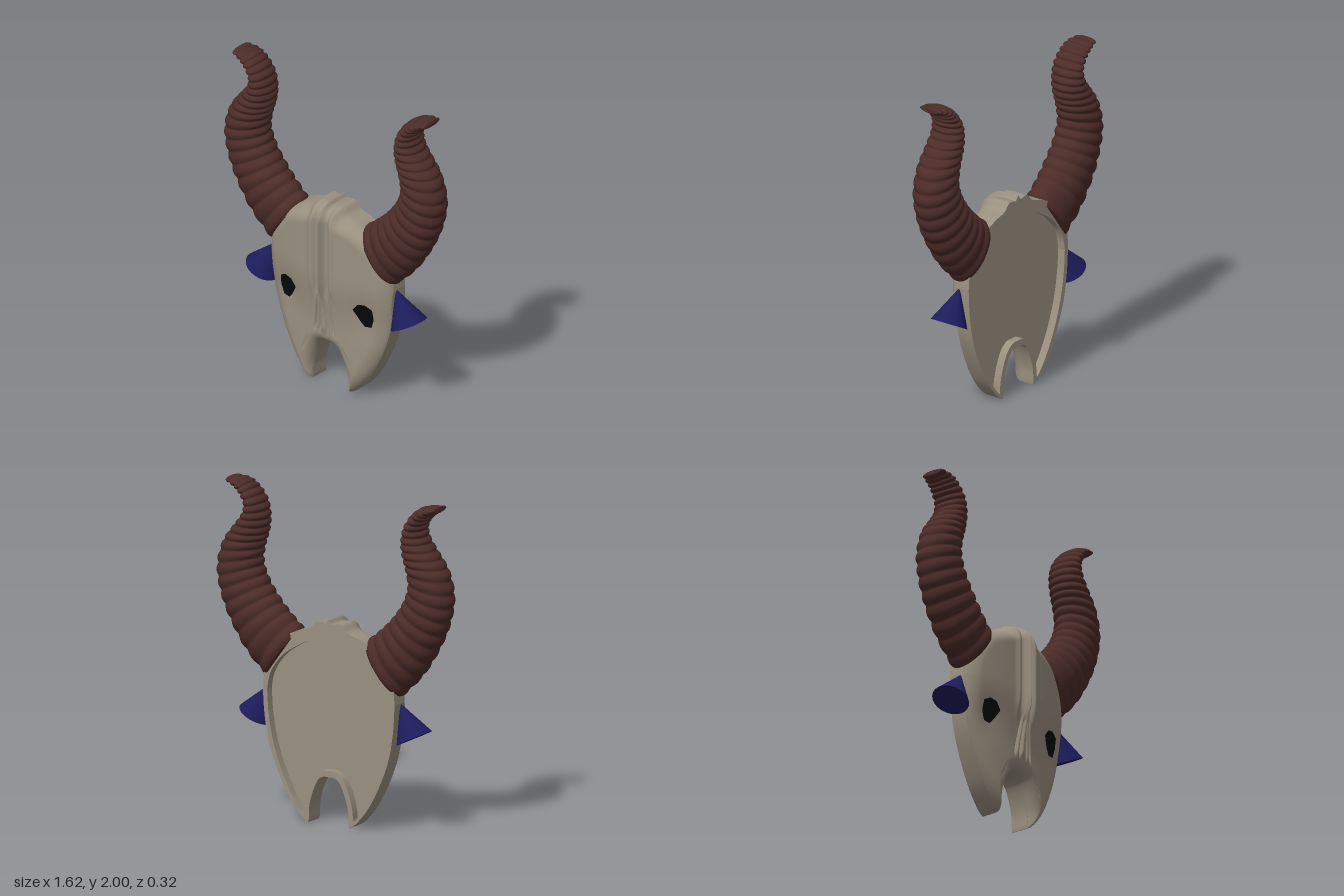
import * as THREE from 'three';
import { mergeVertices } from 'three/addons/utils/BufferGeometryUtils.js';

const paint = (color) => new THREE.MeshStandardMaterial({ color, side: THREE.DoubleSide });
const spline = (pts) => new THREE.SplineCurve(pts.map(([x, y]) => new THREE.Vector2(x, y)));
const gauss = (d, s) => Math.exp(-(d * d) / (s * s));
const step = THREE.MathUtils.smoothstep;

// Surface from a rule fn(u, v) -> [x, y, z], with u and v in 0..1
function loft(nu, nv, fn) {
  const pos = [], index = [];
  for (let j = 0; j <= nv; j++) for (let i = 0; i <= nu; i++) pos.push(...fn(i / nu, j / nv));
  for (let j = 0; j < nv; j++) for (let i = 0; i < nu; i++) {
    const a = j * (nu + 1) + i, b = a + nu + 1;
    index.push(a, a + 1, b + 1, a, b + 1, b);
  }
  let g = new THREE.BufferGeometry();
  g.setAttribute('position', new THREE.Float32BufferAttribute(pos, 3));
  g.setIndex(index);
  g = mergeVertices(g, 1e-5);
  g.computeVertexNormals();
  return g;
}

// Half outlines of the skull and of the hollow in its back: crown edge and jaw edge
const outer = {
  top: spline([[0, 1.2], [0.08, 1.215], [0.13, 1.17], [0.22, 1.14], [0.33, 1.08], [0.41, 0.97], [0.45, 0.87], [0.46, 0.78]]),
  low: spline([[0, 0.287], [0.04, 0.285], [0.075, 0.26], [0.11, 0.19], [0.135, 0.1], [0.14, 0.01], [0.15, 0.003],
    [0.2, 0.04], [0.28, 0.14], [0.36, 0.29], [0.42, 0.45], [0.45, 0.62], [0.46, 0.78]]),
};
const inner = {
  top: spline([[0, 1.12], [0.08, 1.11], [0.14, 1.09], [0.22, 1.05], [0.31, 0.99], [0.38, 0.91], [0.415, 0.84], [0.43, 0.76]]),
  low: spline([[0, 0.325], [0.05, 0.32], [0.1, 0.28], [0.14, 0.2], [0.165, 0.11], [0.17, 0.05], [0.18, 0.045],
    [0.21, 0.08], [0.265, 0.16], [0.335, 0.3], [0.39, 0.46], [0.42, 0.62], [0.43, 0.76]]),
};

// Point on an edge, t from -1 (right) to 1 (left)
function edge(shape, side, t) {
  const p = shape[side].getPoint(Math.min(1, Math.abs(t)));
  const crest = shape === outer && side === 'top' ? 0.035 * gauss(p.x, 0.014) : 0;
  return [Math.sign(t) * p.x, p.y + crest];
}
// Point on the whole closed outline, k from 0 to 1
const around = (shape, k) => (k < 0.5 ? edge(shape, 'low', 4 * k - 1) : edge(shape, 'top', 3 - 4 * k));
// Point inside the outline
function inside(shape, u, v) {
  const [x0, y0] = edge(shape, 'low', 2 * u - 1), [x1, y1] = edge(shape, 'top', 2 * u - 1);
  const w = (1 - Math.cos(Math.PI * v)) / 2;
  return [x0 + (x1 - x0) * w, y0 + (y1 - y0) * w];
}

// Relief of the face: domed brow, crest, side ridges, nose grooves, cheek creases
function faceZ(px, y) {
  const x = Math.abs(px);
  const brow = step(y, 0.56, 0.72), nose = step(y, 0.36, 0.42) * (1 - step(y, 0.58, 0.66));
  const flare = 0.62 - y;
  let z = 0.092 + 0.033 * step(y, 0.4, 0.8) - 0.33 * x * x;
  z += brow * (0.035 * gauss(x, 0.014) - 0.014 * gauss(x - 0.04, 0.018) + 0.012 * gauss(x - 0.075, 0.022));
  z += nose * (0.012 * gauss(x, 0.05) - 0.016 * gauss(x - 0.012 - 0.08 * flare, 0.008)
    - 0.016 * gauss(x - 0.035 - 0.15 * flare, 0.008));
  z -= 0.012 * gauss(x - 0.285, 0.1) * gauss(y - 0.56, 0.12);
  z -= 0.006 * gauss(x - 0.13 - (0.3 - y) * 0.55, 0.007) * step(y, 0.19, 0.22) * (1 - step(y, 0.28, 0.31));
  return z;
}

function buildSkull() {
  const skull = new THREE.Group();
  skull.name = 'skull';
  const bone = paint(0x9a9080);
  const rim = Array.from({ length: 700 }, (_, i) => around(outer, i / 700));
  const back = -0.095, floor = -0.045, round = 0.085;
  const add = (name, g) => {
    const m = new THREE.Mesh(g, bone);
    m.name = name;
    skull.add(m);
  };
  // Front rolls over to meet the side wall
  add('face', loft(240, 84, (u, v) => {
    const [x, y] = inside(outer, u, v);
    let d2 = 1;
    for (const [a, b] of rim) d2 = Math.min(d2, (a - x) ** 2 + (b - y) ** 2);
    const f = v === 0 || v === 1 ? 0 : Math.min(1, Math.sqrt(d2) / round);
    return [x, y, faceZ(x, y) * Math.sqrt(1 - (1 - f) ** 2)];
  }));
  add('sideWall', loft(480, 1, (u, v) => [...around(outer, u), back * (1 - v)]));
  add('backRim', loft(480, 1, (u, v) => {
    const a = around(outer, u), b = around(inner, u);
    return [a[0] + (b[0] - a[0]) * (1 - v), a[1] + (b[1] - a[1]) * (1 - v), back];
  }));
  add('hollowWall', loft(480, 1, (u, v) => [...around(inner, u), back + (floor - back) * (1 - v)]));
  add('hollowFloor', loft(240, 8, (u, v) => [...inside(inner, 1 - u, v), floor]));
  return skull;
}

// Horn: elliptical sections spanning an inside and an outside edge curve
const hornIn = spline([[0.23, 1.13], [0.33, 1.21], [0.42, 1.3], [0.49, 1.4], [0.525, 1.5], [0.51, 1.6],
  [0.487, 1.68], [0.482, 1.77], [0.505, 1.86], [0.56, 1.94], [0.63, 1.985], [0.725, 1.995]]);
const hornOut = spline([[0.46, 0.82], [0.6, 0.96], [0.71, 1.13], [0.78, 1.29], [0.807, 1.45], [0.77, 1.6],
  [0.7, 1.7], [0.635, 1.78], [0.615, 1.85], [0.645, 1.905], [0.685, 1.94], [0.73, 1.965]]);
const hornDepth = spline([[0, 0.122], [1, 0.134], [2, 0.137], [3, 0.132], [4, 0.127], [5, 0.122], [6, 0.116],
  [7, 0.11], [8, 0.104], [9, 0.097], [10, 0.09], [11, 0.072]]);

function hornGeometry() {
  const rows = 230;
  return loft(36, rows, (u, v) => {
    const a = u * Math.PI * 2, j = Math.round(v * rows);
    const t = THREE.MathUtils.clamp((j - 1) / (rows - 2), 0, 1);
    const p = hornIn.getPoint(t), q = hornOut.getPoint(t);
    const phase = 21 * t + 0.15 * Math.cos(a);
    const ridge = Math.abs(Math.sin(Math.PI * phase)) - 0.6;
    const closed = j === 0 || j === rows ? 0 : 1; // first and last rows close the ends
    const half = p.distanceTo(q) / 2;
    const c = Math.cos(a) * closed * (1 + (0.012 * ridge) / Math.max(half, 0.05));
    const z = Math.sin(a) * closed * (hornDepth.getPoint(t).y + 0.012 * ridge);
    return [(p.x + q.x) / 2 + ((q.x - p.x) / 2) * c, (p.y + q.y) / 2 + ((q.y - p.y) / 2) * c, z - 0.017];
  });
}

// Eye: angular dark patch lying on the face
const eyeCorners = [[0.215, 0.605], [0.255, 0.54], [0.285, 0.505], [0.33, 0.51], [0.35, 0.57], [0.345, 0.635], [0.3, 0.66], [0.25, 0.65]];
function eyeGeometry() {
  const n = eyeCorners.length;
  return loft(n * 4, 6, (u, v) => {
    const k = u * n, i = Math.floor(k) % n, f = k - Math.floor(k);
    const a = eyeCorners[i], b = eyeCorners[(i + 1) % n];
    const x = 0.285 + (a[0] + (b[0] - a[0]) * f - 0.285) * (1 - v);
    const y = 0.583 + (a[1] + (b[1] - a[1]) * f - 0.583) * (1 - v);
    return [x, y, faceZ(x, y) + 0.004];
  });
}

export function createModel() {
  const model = new THREE.Group();
  model.name = 'hornedSkullMask';
  model.add(buildSkull());

  // Ear: cone leaning into the side of the skull, open end down and outward
  const ear = new THREE.ConeGeometry(0.112, 0.222, 40);
  ear.rotateZ(Math.atan2(0.1, 0.2));
  ear.translate(0.5, 0.68, -0.02);

  const parts = [
    ['Horn', hornGeometry(), paint(0x4c2c28)],
    ['Eye', eyeGeometry(), paint(0x080808)],
    ['Ear', ear, paint(0x1d1c5c)],
  ];
  for (const [name, geometry, material] of parts) {
    for (const side of [1, -1]) {
      const mesh = new THREE.Mesh(geometry, material);
      mesh.name = (side > 0 ? 'left' : 'right') + name;
      mesh.scale.x = side;
      model.add(mesh);
    }
  }
  return model;
}
